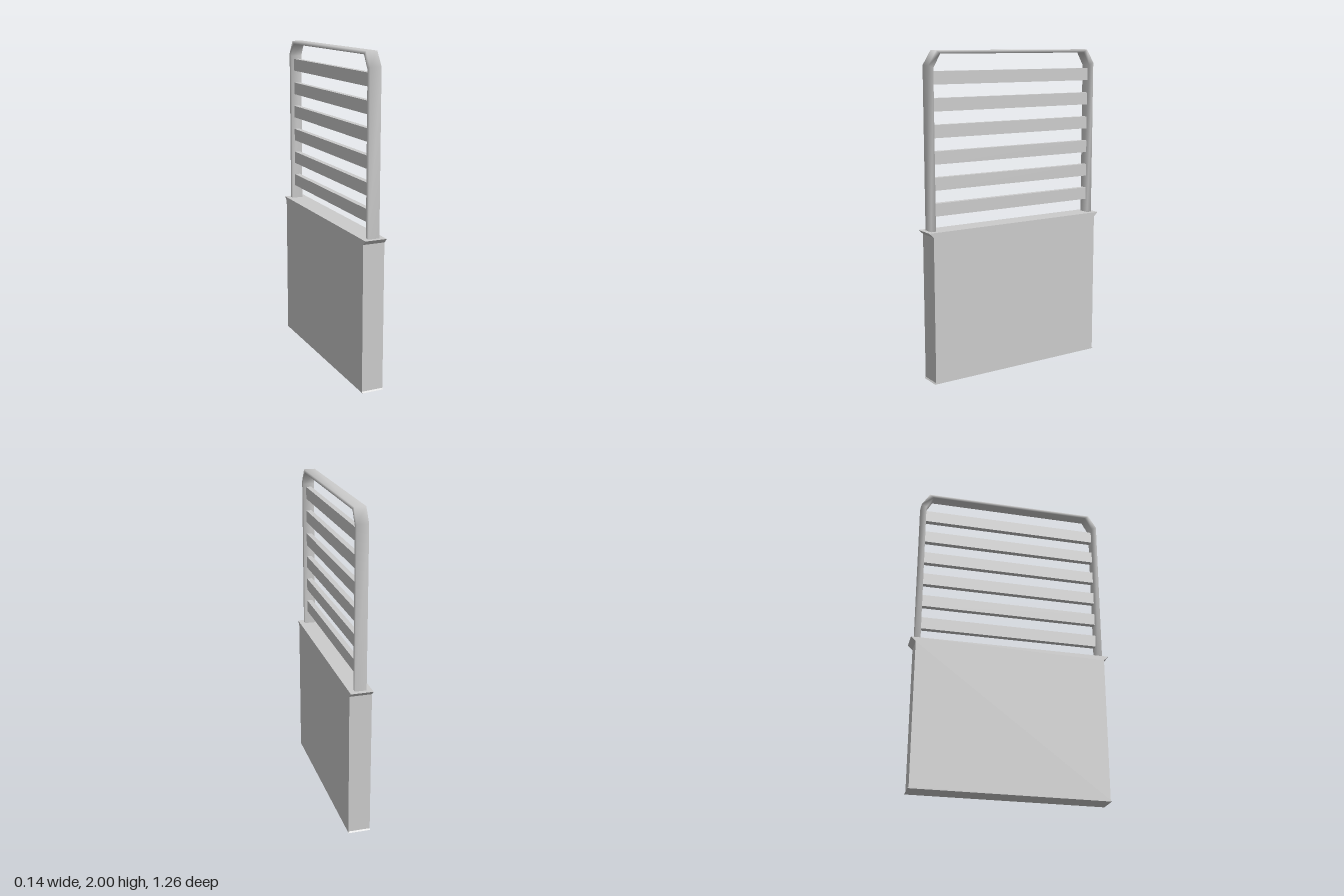
import * as THREE from 'three';

const grey = () => new THREE.MeshStandardMaterial({ color: 0xcccccc });

function add(group, name, geometry) {
  const mesh = new THREE.Mesh(geometry, grey());
  mesh.name = name;
  group.add(mesh);
  return mesh;
}

// Solid panel: side profile with a foot lip and flared ledge, extruded across x
function panelGeometry() {
  const half = [[0.607, 0], [0.6, 0.008], [0.6, 0.912], [0.63, 0.94]];
  const mirrored = half.map(([z, y]) => [-z, y]).reverse();
  const shape = new THREE.Shape([...half, ...mirrored].map(([z, y]) => new THREE.Vector2(z, y)));
  const geometry = new THREE.ExtrudeGeometry(shape, { depth: 0.136, bevelEnabled: false });
  return geometry.translate(0, 0, -0.068).rotateY(-Math.PI / 2);
}

// Arched rail: a flat bar swept along outer and inner outlines, softly shaded
function railGeometry() {
  const w = 0.035;
  // each station: outer z, outer y, inner z, inner y
  const half = [
    [0.6, 0.935, 0.567, 0.935],
    [0.6, 1.915, 0.567, 1.9],
    [0.547, 2, 0.522, 1.98],
  ];
  const stations = [...half, ...half.map(([a, b, c, d]) => [-a, b, -c, d]).reverse()];
  const positions = [];
  const index = [];
  stations.forEach(([oz, oy, iz, iy], i) => {
    positions.push(w, oy, oz, w, iy, iz, -w, iy, iz, -w, oy, oz);
    if (i === stations.length - 1) return;
    for (let k = 0; k < 4; k++) {
      const a = i * 4 + k;
      const b = i * 4 + (k + 1) % 4;
      index.push(a, b, b + 4, a, b + 4, a + 4);
    }
  });
  const geometry = new THREE.BufferGeometry();
  geometry.setAttribute('position', new THREE.Float32BufferAttribute(positions, 3));
  geometry.setIndex(index);
  geometry.computeVertexNormals();
  return geometry;
}

export function createModel() {
  const model = new THREE.Group();
  model.name = 'railedPanel';
  add(model, 'basePanel', panelGeometry());
  add(model, 'archedRail', railGeometry());

  // Six horizontal slats between the posts
  const slats = new THREE.Group();
  slats.name = 'slats';
  for (let i = 0; i < 6; i++) {
    add(slats, 'slat', new THREE.BoxGeometry(0.034, 0.077, 1.134)).position.y = 1.065 + i * 0.1555;
  }
  model.add(slats);
  return model;
}
